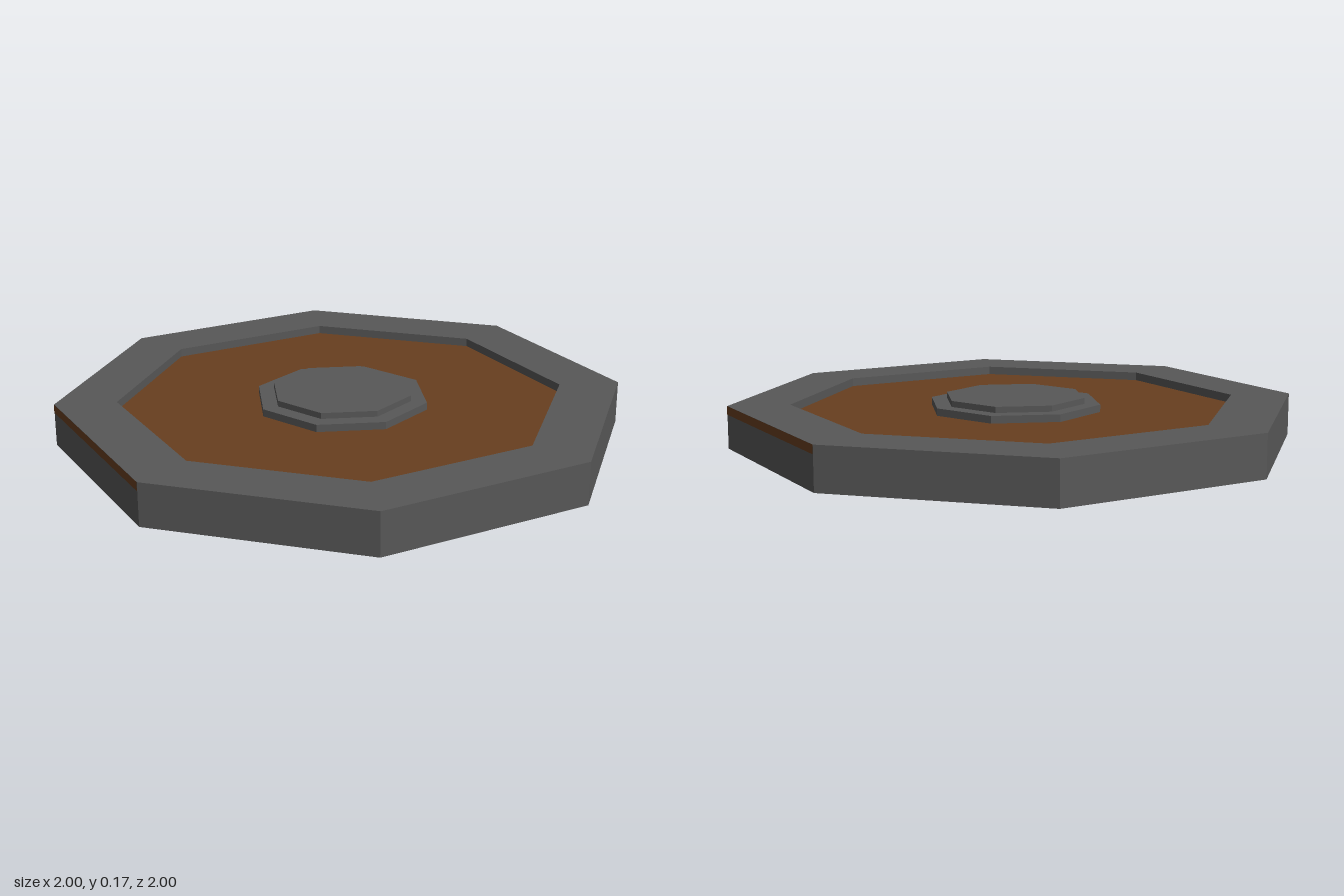
import * as THREE from 'three';

export function createModel() {
  const model = new THREE.Group();
  const mat = (name, color) => {
    const m = new THREE.MeshStandardMaterial({ color });
    m.name = name;
    return m;
  };
  const grey = mat('dark grey', 0x585858);
  const brown = mat('rust brown', 0x683f1f);

  const add = (name, geometry, material) => {
    const flat = geometry.index ? geometry.toNonIndexed() : geometry;
    flat.computeVertexNormals();
    const mesh = new THREE.Mesh(flat, material);
    mesh.name = name;
    model.add(mesh);
    return mesh;
  };

  // Octagonal rim: a square-section ring lathed in eight steps
  const [inner, outer, height] = [0.785, 1, 0.15];
  const section = [[inner, 0], [outer, 0], [outer, height], [inner, height], [inner, 0]];
  add('rim', new THREE.LatheGeometry(section.map(([r, y]) => new THREE.Vector2(r, y)), 8), grey);

  // Octagonal slabs; turn = PI / 8 puts flat sides on the axes
  const slab = (name, radius, y0, y1, turn, material) => {
    const g = new THREE.CylinderGeometry(radius, radius, y1 - y0, 8);
    g.rotateY(turn).translate(0, (y0 + y1) / 2, 0);
    add(name, g, material);
  };
  slab('discPanel', inner, 0.025, 0.12, 0, brown);
  slab('hubBase', 0.308, 0.12, 0.146, Math.PI / 8, grey);
  slab('hubCap', 0.251, 0.146, 0.167, Math.PI / 8, grey);

  // Brown strips along the upper edge of two opposite rim sides
  const side = 2 * Math.sin(Math.PI / 8);
  const apothem = Math.cos(Math.PI / 8);
  for (const angle of [Math.PI / 8, Math.PI * 9 / 8]) {
    const g = new THREE.PlaneGeometry(side, 0.03);
    g.rotateY(Math.PI / 2).translate(apothem + 0.001, height - 0.015, 0).rotateY(angle);
    add('rimStrip', g, brown);
  }
  return model;
}
